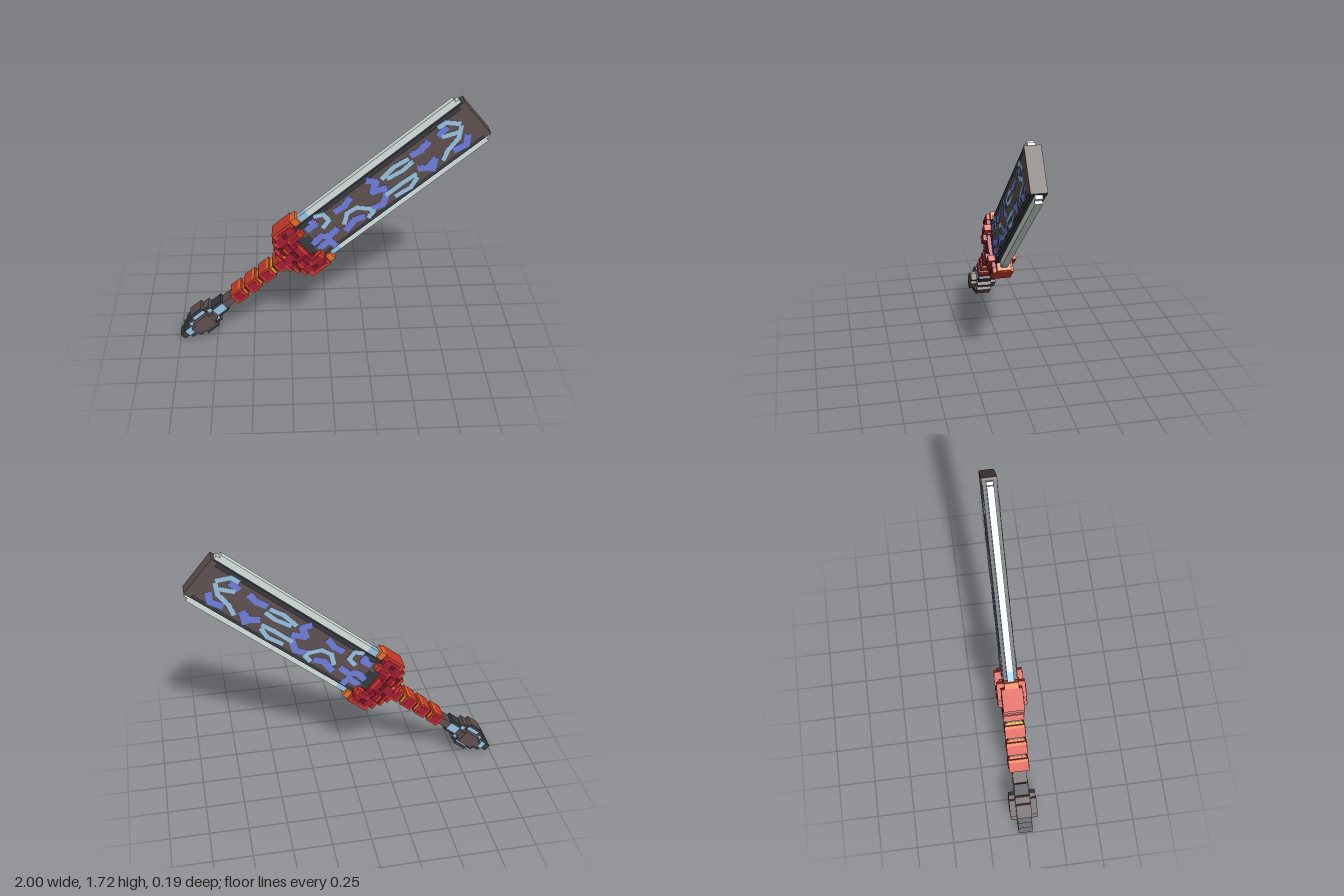
import * as THREE from 'three';
import { mergeGeometries } from 'three/addons/utils/BufferGeometryUtils.js';

const mat = (name, color) => {
  const m = new THREE.MeshStandardMaterial({ color });
  m.name = name;
  return m;
};

export function createModel() {
  const M = {
    stone: mat('brown stone', 0x5f5150),
    dark: mat('dark iron', 0x383a40),
    edge: mat('pale edge', 0xd6e2df),
    sky: mat('light blue', 0x9ac5e4),
    royal: mat('royal blue', 0x6f7fde),
    red: mat('red', 0xce3b29),
    crimson: mat('crimson', 0xa31c34),
    maroon: mat('maroon', 0x651520),
    orange: mat('orange', 0xe2702f),
    gold: mat('gold', 0xd6a81e),
  };
  const root = new THREE.Group();
  root.name = 'sword';

  // Sword space: x runs from pommel to tip, y across the blade
  const sword = new THREE.Group();
  sword.name = 'tiltedSword';
  sword.position.set(-0.985, 0.017, 0);
  sword.rotation.z = THREE.MathUtils.degToRad(40);
  root.add(sword);

  // Box from u0..u1 along, v0..v1 across, and half depth d
  const box = (name, m, u0, u1, v0, v1, d, z = 0) => {
    const mesh = new THREE.Mesh(new THREE.BoxGeometry(u1 - u0, v1 - v0, d * 2), m);
    mesh.position.set((u0 + u1) / 2, (v0 + v1) / 2, z);
    mesh.name = name;
    sword.add(mesh);
  };
  // Thin plates on the front and back faces at depth d
  const plates = (name, m, u0, u1, v0, v1, d) => {
    for (const s of [1, -1]) box(name, m, u0, u1, v0, v1, 0.002, s * (d + 0.001));
  };
  // The same part on both sides of the axis
  const pair = (make, name, m, u0, u1, v0, v1, d) => {
    make(name, m, u0, u1, v0, v1, d);
    make(name, m, u0, u1, -v1, -v0, d);
  };

  // Pommel: stepped diamond with a raised core
  for (const [u0, u1, v, m] of [[0, 0.05, 0.023, M.dark], [0.05, 0.1, 0.047, M.dark],
    [0.1, 0.15, 0.07, M.dark], [0.15, 0.25, 0.092, M.stone], [0.25, 0.3, 0.07, M.stone],
    [0.3, 0.385, 0.044, M.dark]])
    box('pommelStep', m, u0, u1, -v, v, 0.048);
  pair(plates, 'pommelRim', M.dark, 0.15, 0.25, 0.07, 0.092, 0.048);
  pair(plates, 'pommelRim', M.dark, 0.25, 0.3, 0.05, 0.07, 0.048);
  plates('pommelInlay', M.sky, 0.045, 0.11, -0.024, 0.024, 0.048);
  plates('pommelInlay', M.sky, 0.3, 0.385, -0.026, 0.026, 0.048);
  pair(plates, 'pommelInlay', M.sky, 0.11, 0.15, 0.024, 0.05, 0.048);
  pair(plates, 'pommelInlay', M.sky, 0.16, 0.25, 0.046, 0.07, 0.048);
  pair(plates, 'pommelInlay', M.sky, 0.27, 0.3, 0.024, 0.05, 0.048);
  box('pommelCore', M.stone, 0.11, 0.3, -0.025, 0.025, 0.091);
  box('pommelCoreStep', M.stone, 0.145, 0.268, -0.046, 0.046, 0.093);

  // Grip: rod, wrapped blocks and joints
  box('gripRod', M.stone, 0.38, 0.95, -0.025, 0.025, 0.048);
  for (let i = 0; i < 4; i++) {
    const u = 0.476 + i * 0.124;
    box('gripBlock', M.red, u, u + 0.09, -0.041, 0.041, 0.068);
    box('gripBand', M.orange, u + 0.068, u + 0.088, -0.042, 0.042, 0.067);
    plates('gripInset', M.crimson, u + 0.016, u + 0.074, -0.029, 0.029, 0.068);
    if (i < 3) {
      box('gripJoint', i < 2 ? M.orange : M.gold, u + 0.09, u + 0.107, -0.026, 0.026, 0.06);
      box('gripGap', M.maroon, u + 0.107, u + 0.124, -0.022, 0.022, 0.056);
    }
  }

  // Guard: stepped crescent with raised shoulders
  box('guardCore', M.crimson, 0.9, 1.08, -0.075, 0.075, 0.068);
  pair(box, 'guardStep', M.crimson, 0.925, 1.1, 0.075, 0.12, 0.068);
  pair(box, 'guardStep', M.crimson, 0.955, 1.125, 0.12, 0.165, 0.068);
  pair(box, 'guardArm', M.red, 0.985, 1.14, 0.165, 0.203, 0.068);
  pair(box, 'guardArmTip', M.orange, 1.14, 1.18, 0.148, 0.203, 0.046);
  pair(box, 'innerShoulder', M.crimson, 0.98, 1.06, 0.045, 0.1, 0.093);
  pair(box, 'outerShoulder', M.red, 1.04, 1.155, 0.085, 0.125, 0.093);
  pair(plates, 'shoulderTrim', M.red, 0.98, 1.0, 0.045, 0.1, 0.093);
  pair(plates, 'shoulderTrim', M.maroon, 1.025, 1.04, 0.05, 0.095, 0.093);
  pair(plates, 'shoulderTrim', M.crimson, 1.06, 1.13, 0.09, 0.115, 0.093);
  pair(plates, 'guardTrim', M.red, 0.9, 0.92, 0.02, 0.075, 0.068);
  pair(plates, 'guardTrim', M.red, 0.925, 0.945, 0.07, 0.12, 0.068);
  pair(plates, 'guardTrim', M.red, 0.955, 0.975, 0.115, 0.165, 0.068);
  pair(plates, 'guardTrim', M.maroon, 0.95, 0.975, 0.03, 0.11, 0.068);
  pair(plates, 'guardTrim', M.maroon, 1.03, 1.07, 0.135, 0.165, 0.068);
  pair(plates, 'guardTrim', M.crimson, 1.01, 1.12, 0.168, 0.186, 0.068);
  plates('guardTrim', M.red, 1.06, 1.08, -0.045, 0.045, 0.068);
  plates('guardTrim', M.maroon, 0.99, 1.02, -0.03, 0.03, 0.068);
  plates('guardStud', M.gold, 0.94, 0.955, 0.03, 0.045, 0.07);

  // Blade: dark body, stone faces and tip, pale cutting edges
  box('bladeBody', M.dark, 1.05, 2.46, -0.139, 0.139, 0.045);
  box('bladeTip', M.stone, 2.46, 2.473, -0.139, 0.139, 0.048);
  plates('bladeFace', M.stone, 1.165, 2.46, -0.113, 0.113, 0.045);
  pair(plates, 'bladeFaceFoot', M.stone, 1.13, 1.165, 0.05, 0.113, 0.045);
  pair(plates, 'bladeFaceEnd', M.stone, 2.43, 2.46, 0.113, 0.139, 0.045);
  pair(box, 'edgeRoot', M.sky, 1.17, 1.25, 0.139, 0.183, 0.022);
  pair(box, 'innerEdge', M.edge, 1.25, 2.452, 0.139, 0.163, 0.022);
  pair(box, 'outerEdge', M.edge, 1.25, 2.428, 0.163, 0.183, 0.022);

  // Rune strokes, in hundredths, upright space
  const strokes = {
    royal: [
      [[-13, 84.5], [-8.5, 88], [-10.5, 90]],
      [[-9, 74], [-5, 79], [1, 79.5], [5.5, 84]],
      [[-5, 70.5], [1, 76], [4.5, 72.5]],
      [[5, 97.5], [10, 101], [13.5, 106.5]],
      [[12, 84], [17, 91], [22.5, 93]],
      [[25, 119], [30, 118], [28, 111], [36, 113.5]],
      [[28, 99], [35, 102], [37, 110]],
      [[52, 136.5], [57, 139.5], [61, 144.5]],
      [[57, 127], [62.5, 127.5], [66, 133], [65, 126]],
      [[68, 150], [71.5, 154]],
      [[78.5, 139.5], [85, 143], [85.5, 148.5]],
    ],
    sky: [
      [[-8.5, 94], [-3, 95.5], [0.5, 91], [-3, 86]],
      [[10.5, 88.5], [12, 96], [18, 100], [26, 99], [29, 97], [26, 93]],
      [[34, 120.5], [41, 128.5], [49, 133.5]],
      [[37.5, 120.5], [46.5, 126], [52, 131.5]],
      [[37, 109], [46.5, 117], [54.5, 123]],
      [[43, 108], [52, 114], [55.5, 120.5]],
      [[67.5, 155], [71.5, 158], [80, 157]],
      [[71.5, 133], [74, 139.5], [80, 147.5], [81, 155]],
      [[70.5, 148.5], [78.5, 151]],
    ],
  };
  for (const [color, lines] of Object.entries(strokes)) {
    const w = color === 'royal' ? 0.043 : 0.03;
    const z = color === 'royal' ? 0.0485 : 0.0495;
    const parts = [];
    for (const line of lines) for (let i = 1; i < line.length; i++) {
      const [x0, y0] = line[i - 1].map((n) => n / 100);
      const [x1, y1] = line[i].map((n) => n / 100);
      for (const s of [1, -1]) {
        const g = new THREE.BoxGeometry(Math.hypot(x1 - x0, y1 - y0) + w * 0.6, w, 0.003);
        g.rotateZ(Math.atan2(y1 - y0, x1 - x0));
        g.translate((x0 + x1) / 2, (y0 + y1) / 2, s * z);
        parts.push(g);
      }
    }
    const runes = new THREE.Mesh(mergeGeometries(parts), M[color]);
    runes.name = color + 'Runes';
    root.add(runes);
  }
  return root;
}
